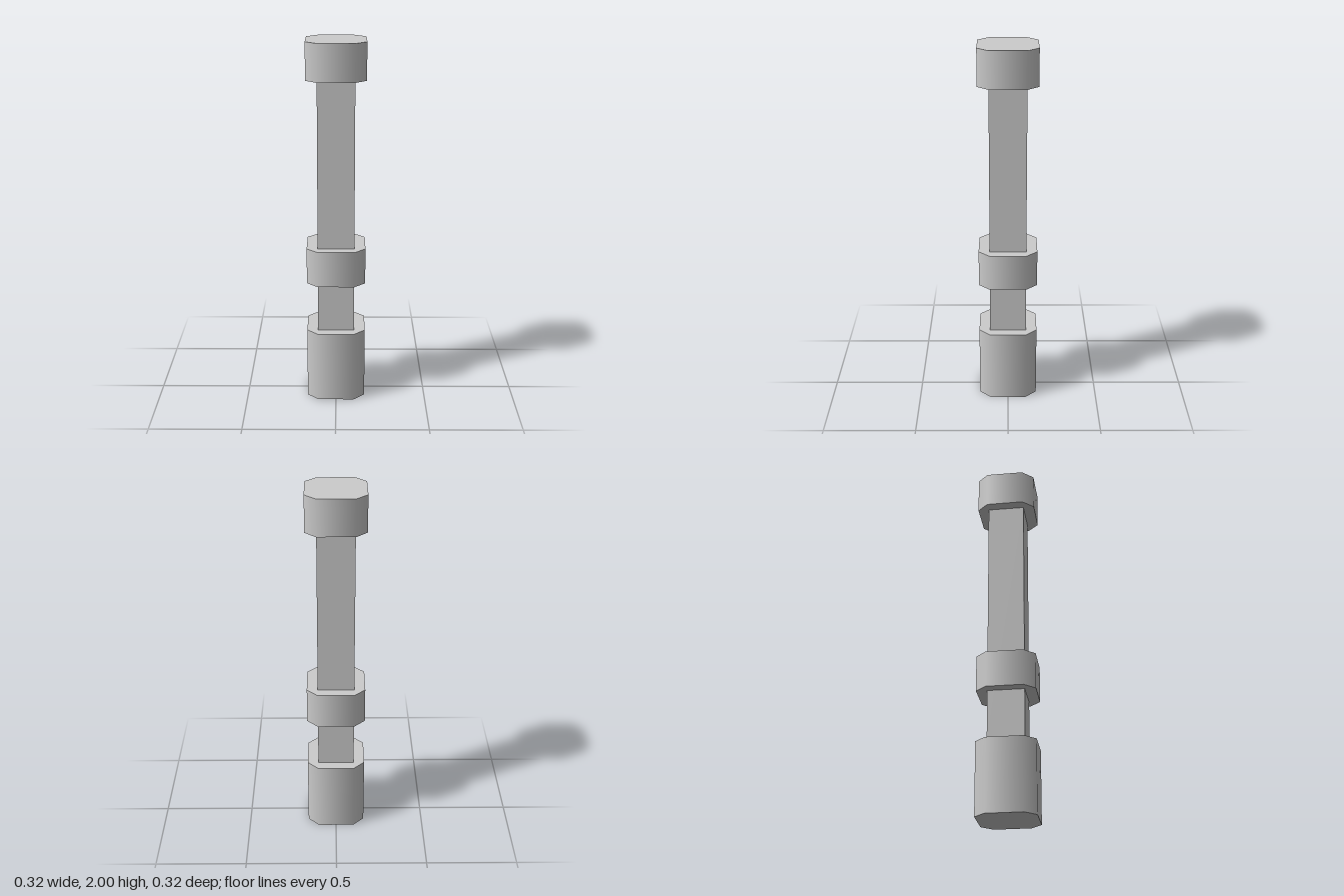
import * as THREE from 'three';

const OUTER = 0.16; // half width of the collars
const INNER = 0.1;  // half width of the shaft, and of each collar's flat side

// Square collar with chamfered corners: an eight-sided cylinder with its
// corners moved out, keeping the smooth normals around the sides
function collarGeometry(height) {
  const geometry = new THREE.CylinderGeometry(OUTER, OUTER, height, 8, 1, false, Math.PI / 8);
  const pos = geometry.attributes.position;
  for (let i = 0; i < pos.count; i++) {
    const x = pos.getX(i), z = pos.getZ(i);
    const wide = Math.abs(x) > Math.abs(z);
    pos.setX(i, Math.sign(x) * (wide ? OUTER : INNER));
    pos.setZ(i, Math.sign(z) * (wide ? INNER : OUTER));
  }
  return geometry;
}

export function createModel() {
  const group = new THREE.Group();
  group.name = 'post';
  const stone = new THREE.MeshStandardMaterial({ color: 0xcccccc });
  stone.name = 'light grey';

  const add = (name, geometry, bottom, top) => {
    const mesh = new THREE.Mesh(geometry, stone);
    mesh.name = name;
    mesh.position.y = (bottom + top) / 2;
    group.add(mesh);
  };

  // Square shaft between the base and the cap
  add('shaft', new THREE.BoxGeometry(INNER * 2, 1.4, INNER * 2), 0.4, 1.8);

  // Chamfered base, middle band and cap
  const collars = [['base', 0, 0.4], ['middleBand', 0.68, 0.88], ['cap', 1.8, 2]];
  for (const [name, bottom, top] of collars) {
    add(name, collarGeometry(top - bottom), bottom, top);
  }
  return group;
}
